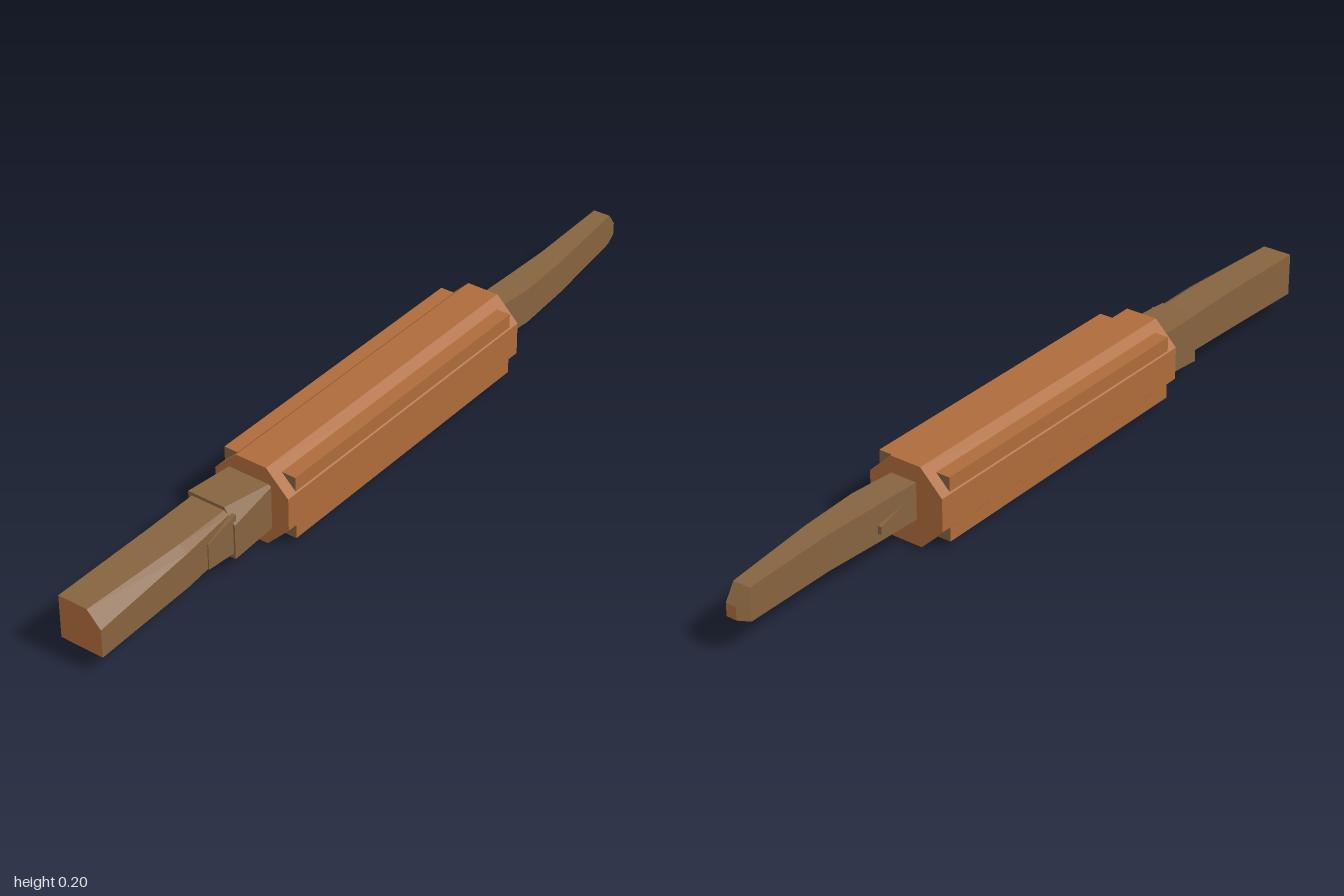
import * as THREE from 'three';

const bark = new THREE.MeshStandardMaterial({ name: 'warm wood', color: 0xae6c3b });
const axle = new THREE.MeshStandardMaterial({ name: 'dull brown wood', color: 0x86633f });

// Flat-sided loft along x. Each section is [x, [[z, y], ...]], listed
// front bottom, front top, back top, back bottom. Group 0: sides, group 1: ends.
function loft(sections) {
  const pos = [];
  const rings = sections.map(([x, pts]) => pts.map(([z, y]) => [x, y, z]));
  const tri = (a, b, c) => pos.push(...a, ...b, ...c);
  for (let i = 0; i < rings.length - 1; i++) {
    const r = rings[i], s = rings[i + 1], n = r.length;
    for (let j = 0; j < n; j++) {
      const k = (j + 1) % n;
      tri(r[j], s[j], r[k]);
      tri(r[k], s[j], s[k]);
    }
  }
  const sides = pos.length / 3;
  const first = rings[0], last = rings[rings.length - 1];
  for (let j = 1; j < first.length - 1; j++) {
    tri(first[0], first[j], first[j + 1]);
    tri(last[0], last[j + 1], last[j]);
  }
  const g = new THREE.BufferGeometry();
  g.setAttribute('position', new THREE.Float32BufferAttribute(pos, 3));
  g.addGroup(0, sides, 0);
  g.addGroup(sides, pos.length / 3 - sides, 1);
  g.computeVertexNormals();
  return g;
}

// Four-cornered section
const quad = (x, zf, zb, y0, y1) => [x, [[zf, y0], [zf, y1], [zb, y1], [zb, y0]]];
// Section with its top front corner cut away
const cut = (x, zf, zb, y0, y1, yc, zc) =>
  [x, [[zf, y0], [zf, yc], [zc, y1], [zb, y1], [zb, y0]]];

export function createModel() {
  const group = new THREE.Group();
  const add = (name, geometry, material) => {
    const mesh = new THREE.Mesh(geometry, material);
    mesh.name = name;
    group.add(mesh);
    return mesh;
  };

  // Eight-sided drum
  const oct = [[0.102, 0.061], [0.102, 0.145], [0.042, 0.204], [-0.042, 0.204],
    [-0.102, 0.145], [-0.102, 0.061], [-0.042, 0], [0.042, 0]];
  add('drum', loft([[-0.44, oct], [0.44, oct]]), [bark, bark]);

  // Four rails standing out of the slanted faces, with dull ends
  const rails = add('rails', new THREE.BoxGeometry(0.82, 0.163, 0.198),
    [axle, axle, bark, bark, bark, bark]);
  rails.position.set(0, 0.103, 0);

  // Thick square axle on the right
  add('rightAxle', loft([
    cut(-1, 0.054, -0.06, 0.05, 0.16, 0.122, 0.018),
    cut(-0.72, 0.052, -0.058, 0.058, 0.162, 0.147, 0.03),
    cut(-0.57, 0.042, -0.06, 0.064, 0.162, 0.155, 0.03),
    cut(-0.43, 0.03, -0.06, 0.066, 0.162, 0.158, 0.025),
  ]), [axle, bark]);

  // Collar between axle and drum
  add('collar', loft([
    cut(-0.57, 0.058, -0.07, 0.043, 0.17, 0.132, 0.03),
    cut(-0.43, 0.055, -0.062, 0.048, 0.163, 0.16, 0.05),
  ]), [axle, axle]);

  // Short wedge in front of the collar
  add('collarWedge', loft([
    quad(-0.65, 0.05, 0, 0.06, 0.126),
    quad(-0.56, 0.054, 0, 0.056, 0.155),
  ]), [axle, axle]);

  // Slim tapering handle on the left, with a blunt tip
  add('leftHandle', loft([
    quad(0.43, 0.04, -0.03, 0.067, 0.161),
    quad(0.56, 0.051, -0.025, 0.067, 0.161),
    quad(0.72, 0.043, -0.02, 0.071, 0.161),
    quad(0.97, 0.018, -0.027, 0.077, 0.16),
    quad(1, 0.014, -0.014, 0.09, 0.123),
  ]), [axle, bark]);

  // Small splinter at the back of the handle
  add('splinter', loft([
    quad(0.46, -0.015, -0.026, 0.08, 0.13),
    quad(0.565, -0.015, -0.035, 0.09, 0.11),
  ]), [axle, axle]);

  return group;
}
